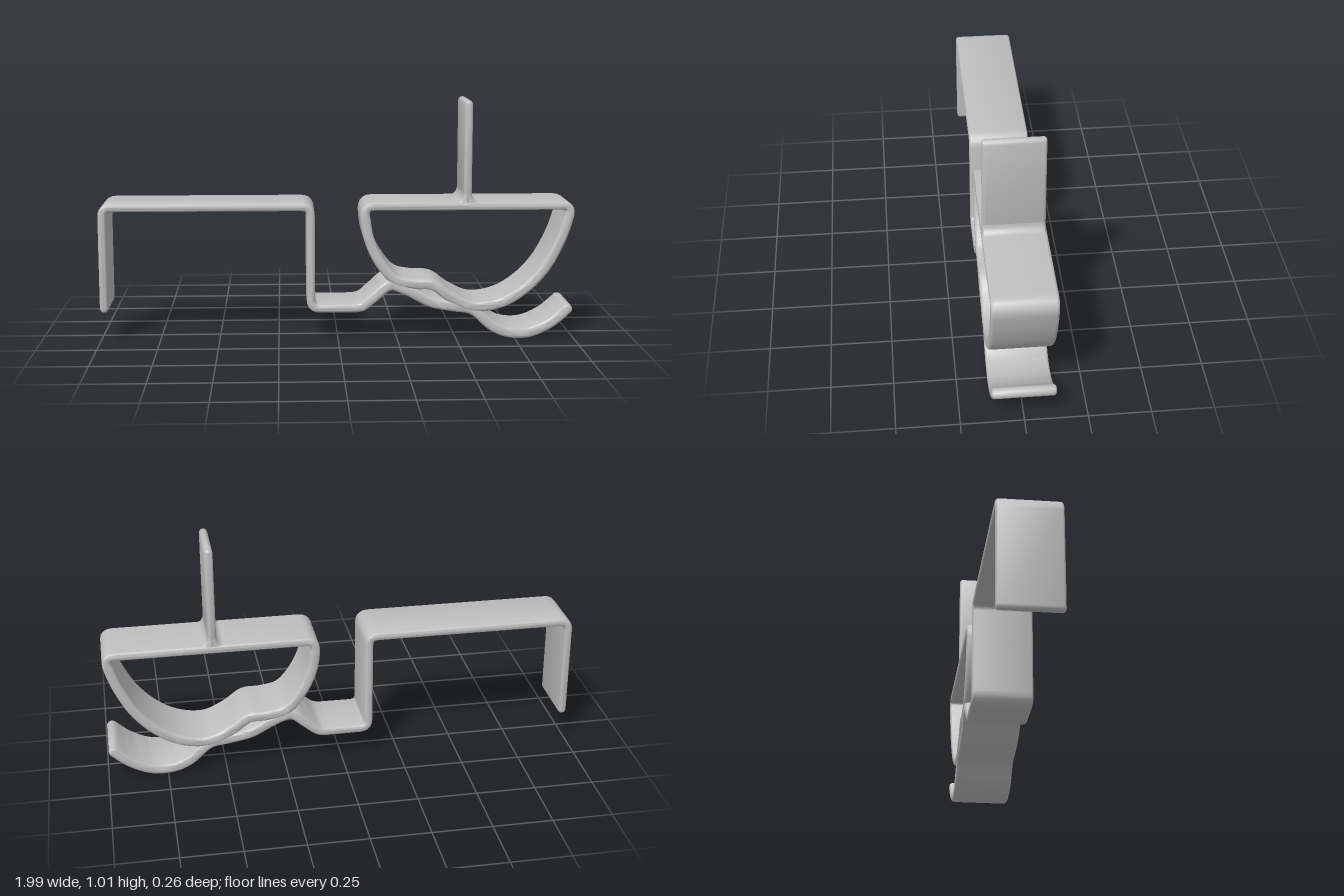
import * as THREE from 'three';
import { toCreasedNormals } from 'three/addons/utils/BufferGeometryUtils.js';

const BEVEL = 0.013;

// Extrudes an outline along z, centred, with rounded edges
function softExtrude(points, halfDepth) {
  const depth = 2 * (halfDepth - BEVEL);
  const geo = new THREE.ExtrudeGeometry(new THREE.Shape(points), {
    depth, bevelEnabled: true, bevelThickness: BEVEL, bevelSize: BEVEL,
    bevelOffset: -BEVEL, bevelSegments: 4, curveSegments: 6,
  });
  geo.translate(0, 0, -depth / 2);
  return toCreasedNormals(geo, 0.6);
}

// Gives a centre line thickness, with a round cap at both ends
function thicken(line, half) {
  const left = [], right = [];
  const n = line.length;
  const dir = (a, b) => b.clone().sub(a).normalize();
  line.forEach((p, i) => {
    const before = i > 0 ? dir(line[i - 1], p) : dir(p, line[1]);
    const after = i < n - 1 ? dir(p, line[i + 1]) : before;
    const t = before.clone().add(after).normalize();
    const h = half(p) / Math.max(0.5, t.dot(after));
    left.push(new THREE.Vector2(p.x - t.y * h, p.y + t.x * h));
    right.push(new THREE.Vector2(p.x + t.y * h, p.y - t.x * h));
  });
  const cap = (p, t) => {
    const start = Math.atan2(t.y, t.x) + Math.PI / 2;
    return [1, 2, 3, 4, 5].map((k) => {
      const a = start - (k * Math.PI) / 6;
      return new THREE.Vector2(p.x + Math.cos(a) * half(p), p.y + Math.sin(a) * half(p));
    });
  };
  return [
    ...left, ...cap(line[n - 1], dir(line[n - 2], line[n - 1])),
    ...right.reverse(), ...cap(line[0], dir(line[1], line[0])),
  ];
}

// Adds a straight run to a path, ending in a rounded corner
function corner(path, cx, cy, nx, ny, r = 0.038) {
  const c = new THREE.Vector2(cx, cy);
  const a = path.currentPoint.clone().sub(c).setLength(r).add(c);
  const b = new THREE.Vector2(nx, ny).sub(c).setLength(r).add(c);
  path.lineTo(a.x, a.y);
  path.quadraticCurveTo(cx, cy, b.x, b.y);
}

const vecs = (list) => list.map(([x, y]) => new THREE.Vector2(x, y));

export function createModel() {
  const group = new THREE.Group();
  const grey = new THREE.MeshStandardMaterial({ color: 0xbfbfbf });
  grey.name = 'grey';
  const add = (name, geo) => {
    const mesh = new THREE.Mesh(geo, grey);
    mesh.name = name;
    group.add(mesh);
  };

  // Square hook, running on through the crossing into the curled tail
  const hook = new THREE.Path();
  hook.moveTo(-0.982, 0.143);
  corner(hook, -0.982, 0.57, -0.115, 0.57);
  corner(hook, -0.115, 0.57, -0.115, 0.136);
  corner(hook, -0.115, 0.136, 0.08, 0.136);
  hook.lineTo(0.06, 0.136);
  hook.splineThru(vecs([
    [0.105, 0.145], [0.16, 0.19], [0.22, 0.233], [0.30, 0.207], [0.39, 0.161],
    [0.48, 0.142], [0.57, 0.125], [0.65, 0.058], [0.72, 0.027], [0.81, 0.026],
    [0.90, 0.065], [0.972, 0.125],
  ]));
  const hookHalf = (p) => 0.0175 + 0.0045 * THREE.MathUtils.smoothstep(p.x, 0, 0.2);
  add('hookAndTail', softExtrude(thicken(hook.getPoints(5), hookHalf), 0.127));

  // Closed bowl loop: flat bar on top, curved band below
  const bowl = new THREE.Path();
  bowl.moveTo(0.541, 0.57);
  bowl.lineTo(0.15, 0.57);
  bowl.quadraticCurveTo(0.112, 0.57, 0.113, 0.53);
  bowl.splineThru(vecs([
    [0.127, 0.44], [0.167, 0.345], [0.235, 0.262], [0.32, 0.239], [0.40, 0.233],
    [0.475, 0.182], [0.57, 0.141], [0.68, 0.153], [0.78, 0.207], [0.87, 0.30],
    [0.935, 0.42], [0.972, 0.53],
  ]));
  bowl.quadraticCurveTo(0.982, 0.57, 0.94, 0.57);
  bowl.lineTo(0.541, 0.57);
  const bowlHalf = (p) => 0.0215 - 0.004 * THREE.MathUtils.smoothstep(p.y, 0.5, 0.57);
  add('bowl', softExtrude(thicken(bowl.getPoints(5), bowlHalf), 0.129));

  // Upright post
  const post = vecs([[0.541, 0.57], [0.541, 0.994]]);
  add('post', softExtrude(thicken(post, () => 0.0175), 0.125));

  // Flared foot where the post meets the bar
  const foot = new THREE.Shape();
  foot.moveTo(0.491, 0.56);
  foot.lineTo(0.591, 0.56);
  foot.lineTo(0.591, 0.586);
  foot.quadraticCurveTo(0.558, 0.59, 0.558, 0.63);
  foot.lineTo(0.524, 0.63);
  foot.quadraticCurveTo(0.524, 0.59, 0.491, 0.586);
  add('postFoot', softExtrude(foot.getPoints(6), 0.125));

  return group;
}
